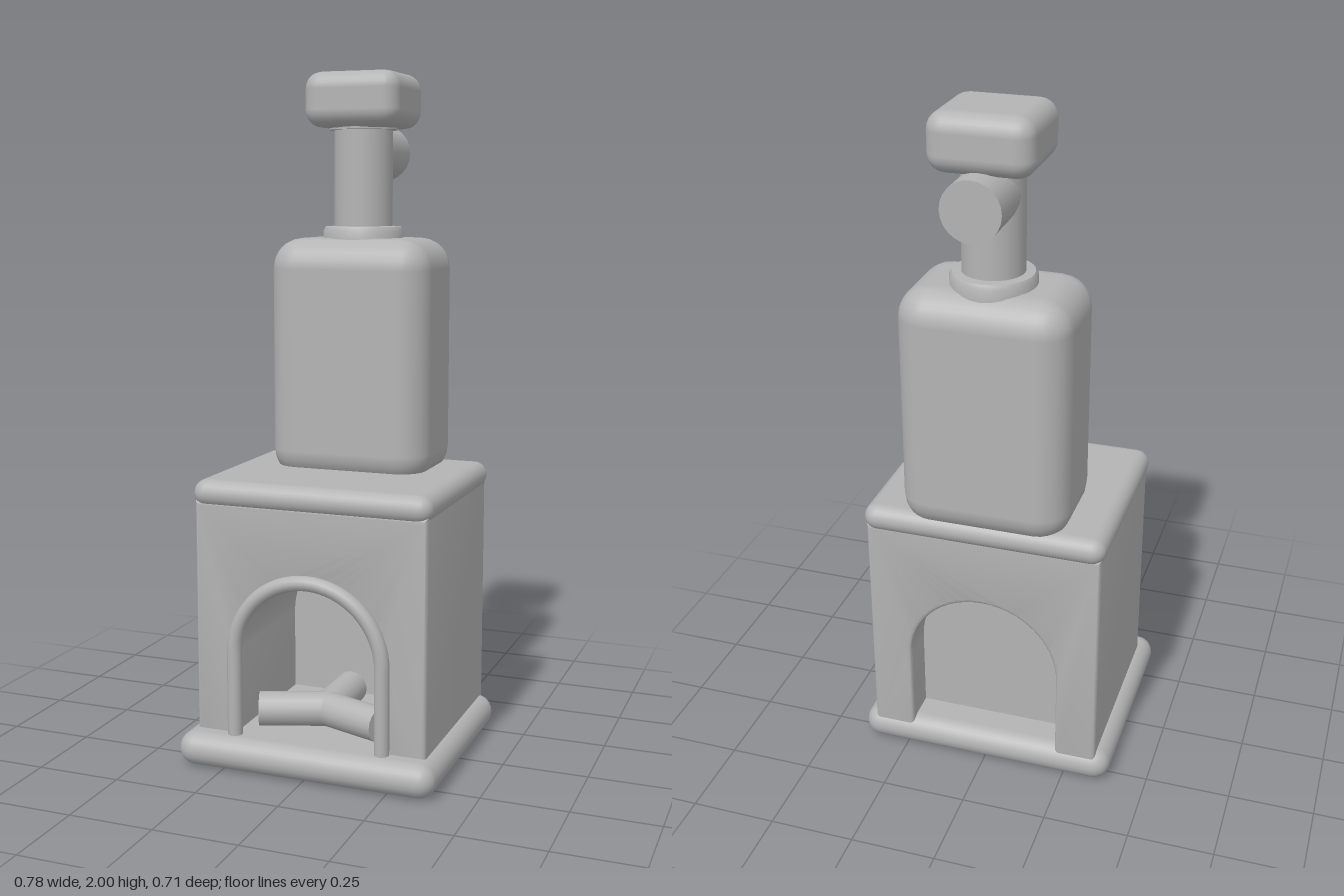
import * as THREE from 'three';
import { RoundedBoxGeometry } from 'three/addons/geometries/RoundedBoxGeometry.js';
import { toCreasedNormals } from 'three/addons/utils/BufferGeometryUtils.js';

export function createModel() {
  const model = new THREE.Group();
  model.name = 'woodStove';
  const stone = new THREE.MeshStandardMaterial({ color: 0xb4b4b4 });
  stone.name = 'grey stone';

  const add = (name, geometry, x = 0, y = 0, z = 0, parent = model) => {
    const mesh = new THREE.Mesh(geometry, stone);
    mesh.name = name;
    mesh.position.set(x, y, z);
    parent.add(mesh);
    return mesh;
  };
  // Rounded block, centred on x, given by its y and z limits
  const block = (name, width, y0, y1, z0, z1, radius, segments = 3) =>
    add(name, new RoundedBoxGeometry(width, y1 - y0, z1 - z0, segments, radius),
      0, (y0 + y1) / 2, (z0 + z1) / 2);

  // Base and top slabs
  block('baseSlab', 0.78, 0, 0.1, -0.32, 0.355, 0.05);
  block('topSlab', 0.72, 0.76, 0.84, -0.32, 0.29, 0.04);

  // Firebox: block with an arched tunnel from front to back
  const archR = 0.225, springY = 0.345;
  const outline = new THREE.Shape();
  outline.moveTo(-0.35, 0.06);
  outline.lineTo(-archR, 0.06);
  outline.lineTo(-archR, springY);
  outline.absarc(0, springY, archR, Math.PI, 0, true);
  outline.lineTo(archR, 0.06);
  outline.lineTo(0.35, 0.06);
  outline.lineTo(0.35, 0.78);
  outline.lineTo(-0.35, 0.78);
  outline.closePath();
  const bevel = 0.012, back = -0.308, front = 0.28;
  const firebox = new THREE.ExtrudeGeometry(outline, {
    depth: front - back - 2 * bevel, curveSegments: 24,
    bevelSize: bevel, bevelThickness: bevel, bevelOffset: -bevel, bevelSegments: 3,
  });
  add('firebox', toCreasedNormals(firebox, 0.6), 0, 0, back + bevel);

  // Panel inside the tunnel, with a gap above it
  add('backPanel', new THREE.BoxGeometry(0.45, 0.435, 0.04), 0, 0.2975, -0.18);

  // Trim around the front opening
  const trim = new THREE.Group();
  trim.name = 'archTrim';
  model.add(trim);
  const trimZ = 0.288, trimR = 0.022;
  add('archCurve', new THREE.TorusGeometry(archR, trimR, 12, 32, Math.PI), 0, springY, trimZ, trim);
  for (const side of [-1, 1]) {
    add('archLeg', new THREE.CylinderGeometry(trimR, trimR, springY - 0.08, 12),
      side * archR, (springY + 0.08) / 2, trimZ, trim);
  }

  // Three logs meeting at one point
  const logs = new THREE.Group();
  logs.name = 'logs';
  logs.position.set(0, 0.15, 0.13);
  model.add(logs);
  for (const angle of [-0.35, Math.PI + 0.35, Math.PI / 2]) {
    const log = new THREE.CylinderGeometry(0.05, 0.05, 0.2, 16);
    log.rotateZ(Math.PI / 2).translate(0.1, 0, 0).rotateY(angle);
    add('log', log, 0, 0, 0, logs);
  }

  // Upper chamber
  block('upperChamber', 0.49, 0.8, 1.52, -0.33, 0.015, 0.09);

  // Flue with its collars, side outlet and cap
  const flueZ = -0.17;
  const collar = [[0.12, 1.5], [0.12, 1.542], [0.113, 1.553], [0.08, 1.555]]
    .map(([r, y]) => new THREE.Vector2(r, y));
  add('collar', toCreasedNormals(new THREE.LatheGeometry(collar, 28), 0.7), 0, 0, flueZ);
  add('flue', new THREE.CylinderGeometry(0.087, 0.087, 0.38, 28), 0, 1.68, flueZ);
  add('upperCollar', new THREE.CylinderGeometry(0.102, 0.102, 0.03, 28), 0, 1.85, flueZ);
  const outlet = new THREE.CylinderGeometry(0.083, 0.083, 0.19, 24).rotateX(Math.PI / 2);
  add('sideOutlet', outlet, 0, 1.772, -0.263);
  block('flueCap', 0.29, 1.84, 2, -0.31, -0.03, 0.05);

  return model;
}
